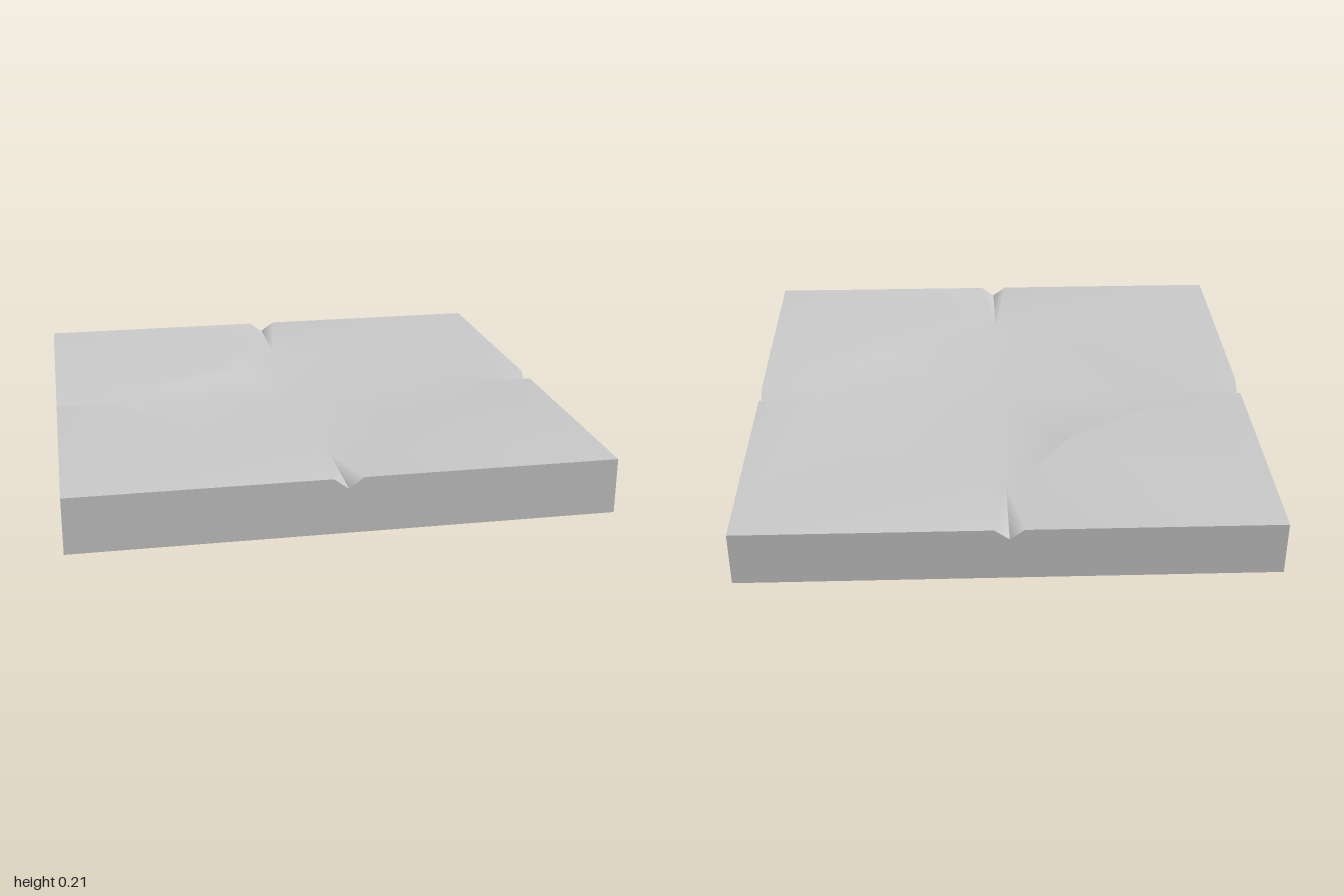
import * as THREE from 'three';

const TOP = 0.21, LOW = 0.17, NOTCH = 0.055;

// Sides in order front, right, back, left: outward direction and
// where its channel meets the basin rim and the basin floor
const sides = [
  { dir: [0, 1], rim: 0.68, floor: 0.64 },
  { dir: [1, 0], rim: 0.78, floor: 0.74 },
  { dir: [0, -1], rim: 0.69, floor: 0.64 },
  { dir: [-1, 0], rim: 0.77, floor: 0.74 },
];
// Rim corner between each side and the next one
const rimCorners = [[0.57, 0.46], [0.55, -0.47], [-0.275, -0.37], [-0.45, 0.47]];

// Collects points and triangles, each turned to face the given direction
function surface() {
  const points = [], index = [];
  return {
    add(x, y, z) { return points.push(new THREE.Vector3(x, y, z)) - 1; },
    tri(a, b, c, facing) {
      const n = points[b].clone().sub(points[a]).cross(points[c].clone().sub(points[a]));
      index.push(...(n.dot(facing) > 0 ? [a, b, c] : [a, c, b]));
    },
    mesh(name, material) {
      const g = new THREE.BufferGeometry().setFromPoints(points);
      g.setIndex(index);
      g.computeVertexNormals();
      const m = new THREE.Mesh(g, material);
      m.name = name;
      return m;
    },
  };
}

export function createModel() {
  const group = new THREE.Group();
  group.name = 'channelTile';
  const stone = new THREE.MeshStandardMaterial({ color: 0xcccccc });
  stone.name = 'grey stone';
  const up = new THREE.Vector3(0, 1, 0);

  // Smooth upper surface: four channels running into a sunken basin
  const top = surface();
  const up3 = (a, b, c) => top.tri(a, b, c, up);
  const centre = top.add(0, LOW, 0);
  const ends = sides.map(({ dir: [dx, dz], rim, floor }) => {
    const at = (out, across, y) => top.add(dx * out + dz * across, y, dz * out - dx * across);
    const end = { floor: at(floor, 0, LOW) };
    for (const [key, s] of [['next', 1], ['prev', -1]]) {
      const edge = at(1, s * NOTCH, TOP);
      const lip = at(rim, s * 0.05, TOP);
      const bottom = at(1, 0, LOW); // separate for each bank, so the groove stays sharp
      up3(edge, lip, end.floor);
      up3(edge, end.floor, bottom);
      end[key] = { edge, lip };
    }
    return end;
  });
  sides.forEach((side, i) => {
    const j = (i + 1) % 4, a = ends[i], b = ends[j];
    const [cx, cz] = rimCorners[i];
    const corner = top.add(side.dir[0] + sides[j].dir[0], TOP, side.dir[1] + sides[j].dir[1]);
    const rim = top.add(cx, TOP, cz);
    const floor = top.add(cx * 0.92, LOW, cz * 0.92);
    // flat land around the corner
    const land = [a.next.edge, a.next.lip, rim, b.prev.lip, b.prev.edge];
    for (let k = 0; k < 4; k++) up3(corner, land[k], land[k + 1]);
    // basin bank
    for (const [end, lip] of [[a, a.next.lip], [b, b.prev.lip]]) {
      up3(lip, rim, floor);
      up3(lip, floor, end.floor);
      up3(centre, end.floor, floor);
    }
  });
  group.add(top.mesh('upperSurface', stone));

  // Outer walls, each with a V notch in its upper edge
  const walls = surface();
  for (const { dir: [dx, dz] } of sides) {
    const facing = new THREE.Vector3(dx, 0, dz);
    const outline = [[-1, 0], [1, 0], [1, TOP], [NOTCH, TOP], [0, LOW], [-NOTCH, TOP], [-1, TOP]];
    const ids = outline.map(([u, y]) => walls.add(dx + dz * u, y, dz - dx * u));
    for (const [a, b, c] of [[0, 1, 4], [1, 2, 3], [1, 3, 4], [0, 4, 5], [0, 5, 6]])
      walls.tri(ids[a], ids[b], ids[c], facing);
  }
  group.add(walls.mesh('outerWalls', stone));

  // Underside
  const underside = new THREE.Mesh(new THREE.PlaneGeometry(2, 2).rotateX(Math.PI / 2), stone);
  underside.name = 'underside';
  group.add(underside);
  return group;
}
